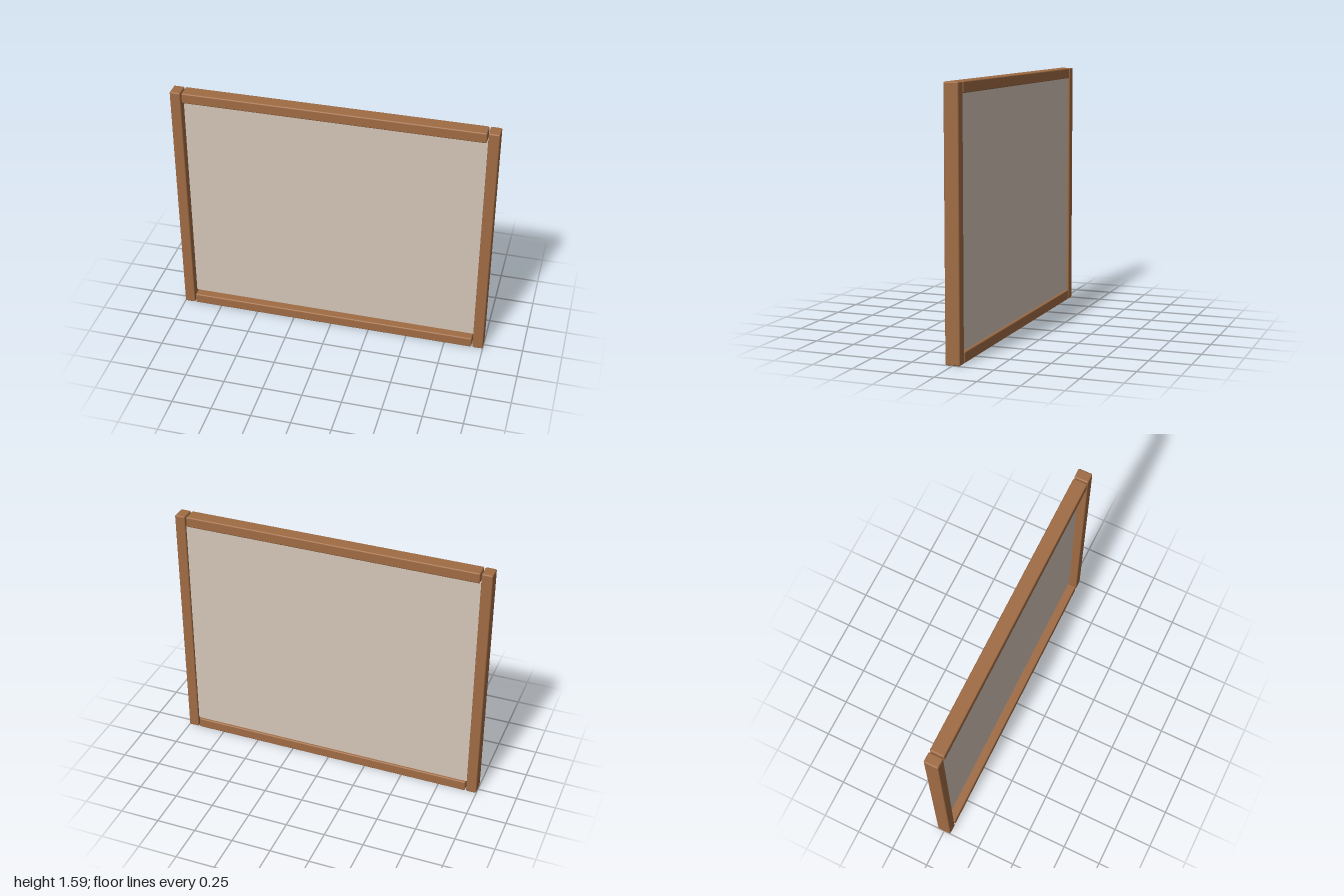
import * as THREE from 'three';
import { RoundedBoxGeometry } from 'three/addons/geometries/RoundedBoxGeometry.js';

const HEIGHT = 1.592, DEPTH = 0.09, BAR = 0.067, GAP = 0.007, EDGE = 0.008;

export function createModel() {
  const group = new THREE.Group();
  const wood = new THREE.MeshStandardMaterial({ color: 0xa06c44 });
  const board = new THREE.MeshStandardMaterial({ color: 0xd4c5b8 });

  const add = (name, geometry, material, x, y, z) => {
    const mesh = new THREE.Mesh(geometry, material);
    mesh.name = name;
    mesh.position.set(x, y, z);
    group.add(mesh);
  };

  // Upright posts with softened edges
  const post = new RoundedBoxGeometry(BAR, HEIGHT, DEPTH, 2, EDGE);
  add('leftPost', post, wood, 1 - BAR / 2, HEIGHT / 2, 0);
  add('rightPost', post, wood, -1 + BAR / 2, HEIGHT / 2, 0);

  // Rails between the posts, with a narrow joint at each end
  const rail = new RoundedBoxGeometry(2 - 2 * (BAR + GAP), BAR, DEPTH, 2, EDGE);
  add('bottomRail', rail, wood, 0, BAR / 2, 0);
  add('topRail', rail, wood, 0, HEIGHT - BAR / 2, 0);

  // Thin panel let into the frame, nearer the back
  const panel = new THREE.BoxGeometry(2 - 2 * BAR, HEIGHT - 2 * BAR, 0.02);
  add('panel', panel, board, 0, HEIGHT / 2, -0.02);

  return group;
}
